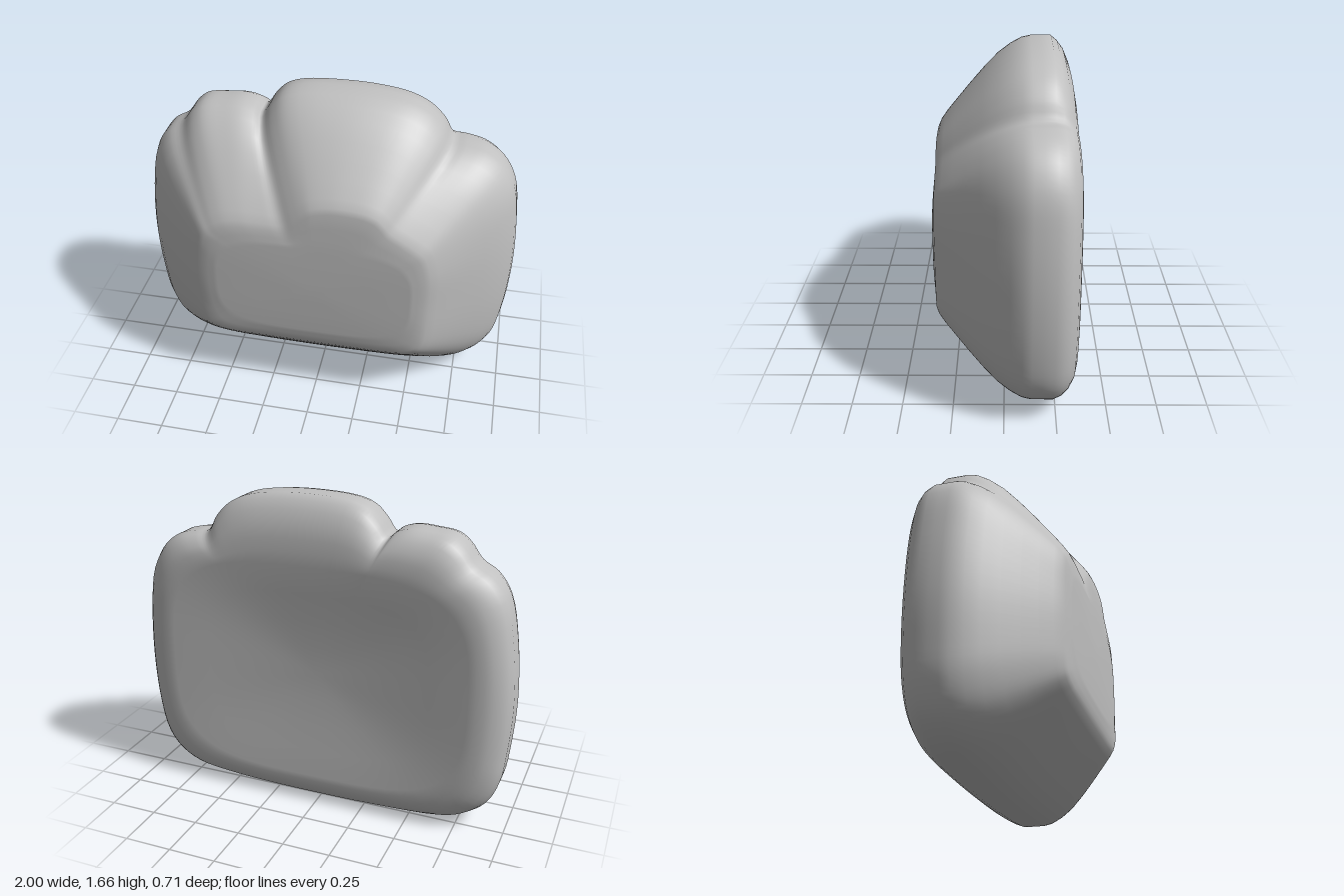
import * as THREE from 'three';

// Widest outline, counter-clockwise from bottom centre, with three crown bumps
const OUTLINE = [
  [0, 0], [0.3, 0.005], [0.55, 0.02], [0.75, 0.05], [0.87, 0.12], [0.94, 0.22], [0.98, 0.4],
  [1, 0.7], [0.985, 1], [0.95, 1.2], [0.88, 1.32], [0.79, 1.385], [0.69, 1.41], [0.62, 1.42],
  [0.57, 1.5], [0.5, 1.57], [0.4, 1.62], [0.25, 1.648], [0.05, 1.656], [-0.15, 1.642],
  [-0.24, 1.61], [-0.3, 1.55], [-0.35, 1.485], [-0.39, 1.515], [-0.46, 1.535], [-0.56, 1.53],
  [-0.66, 1.515], [-0.72, 1.47], [-0.78, 1.39], [-0.86, 1.34], [-0.93, 1.24], [-0.98, 1],
  [-1, 0.7], [-0.985, 0.45], [-0.96, 0.28], [-0.9, 0.15], [-0.8, 0.07], [-0.68, 0.03], [-0.3, 0.005],
];

// Edge of the front plateau, point for point with the outline
const PLATEAU = [
  [0, 0.4], [0.23, 0.4], [0.42, 0.4], [0.49, 0.41], [0.53, 0.43], [0.55, 0.47], [0.56, 0.56],
  [0.56, 0.72], [0.56, 0.88], [0.54, 0.97], [0.52, 1.01], [0.48, 1.04], [0.42, 1.08], [0.36, 1.12],
  [0.33, 1.16], [0.3, 1.19], [0.25, 1.21], [0.17, 1.22], [0.09, 1.22], [0, 1.2],
  [-0.04, 1.17], [-0.08, 1.13], [-0.13, 1.08], [-0.2, 1.08], [-0.28, 1.08], [-0.35, 1.08],
  [-0.43, 1.07], [-0.48, 1.05], [-0.51, 1.03], [-0.54, 1.01], [-0.56, 0.96], [-0.57, 0.87],
  [-0.58, 0.72], [-0.57, 0.56], [-0.56, 0.48], [-0.54, 0.43], [-0.5, 0.41], [-0.43, 0.4], [-0.23, 0.4],
];

// Rings as [blend, z]: back field (centre to back edge), back rim, front slope, front cap
const FIELD = [[0.25, -0.318], [0.5, -0.327], [0.75, -0.34], [1, -0.354]];
const RIM = [[0.8, -0.353], [0.6, -0.348], [0.4, -0.336], [0.2, -0.308], [0.08, -0.278], [0, -0.235]];
const SLOPE = [[0, -0.18], [0, -0.13], [0.02, -0.085], [0.08, -0.03], [0.18, 0.035], [0.33, 0.105],
  [0.5, 0.175], [0.67, 0.24], [0.82, 0.295], [0.91, 0.322], [0.98, 0.335]];
const CAP = [[0.35, 0.341], [0.7, 0.346], [1, 0.349]];
const CROWN = [[0.4, 0.352], [0.75, 0.354]];
const CENTRE = new THREE.Vector3(0, 0.74, 0);

function sample(points, n) {
  const curve = new THREE.CatmullRomCurve3(
    points.map(([x, y]) => new THREE.Vector3(x, y, 0)), true, 'centripetal');
  return Array.from({ length: n }, (_, i) => curve.getPoint(i / n));
}

// Moving average along a closed loop
function soften(loop, width) {
  return loop.map((_, i) => {
    const sum = new THREE.Vector3();
    for (let d = -width; d <= width; d++) sum.add(loop[(i + d + loop.length) % loop.length]);
    return sum.divideScalar(2 * width + 1);
  });
}

// Rounded rectangle whose points lie in the same directions as those of a loop
function rounded(loop, halfWidth, halfHeight) {
  return loop.map((p) => {
    const d = p.clone().sub(CENTRE);
    const r = Math.abs(d.x / halfWidth) ** 3.5 + Math.abs(d.y / halfHeight) ** 3.5;
    return d.multiplyScalar(r ** (-1 / 3.5)).add(CENTRE);
  });
}

function bodyGeometry() {
  const n = OUTLINE.length * 4;
  const outer = sample(OUTLINE, n), inner = sample(PLATEAU, n);
  const soft = soften(outer, 7);
  const backEdge = rounded(outer, 0.8, 0.58), frontEdge = rounded(inner, 0.5, 0.27);
  const middle = outer.map(() => CENTRE);
  const position = [], index = [];
  let rings = 0;
  const addRings = (list, from, to) => list.forEach(([k, z]) => {
    from.forEach((p, i) => {
      const q = p.clone().lerp(to[i], k);
      // The back is slightly hollow from side to side
      const hollow = z < -0.24 ? 0.012 * Math.max(0, 1 - (q.x / 0.8) ** 2) : 0;
      position.push(q.x, q.y, z + hollow);
    });
    rings++;
  });
  addRings(FIELD, middle, backEdge);
  addRings(RIM, outer, backEdge);
  // The valleys between the bumps soften as they run down the front slope
  SLOPE.forEach(([k, z]) => {
    const eased = outer.map((p, i) => p.clone().lerp(soft[i], k));
    addRings([[k, z]], eased, inner);
  });
  addRings(CAP, inner, frontEdge);
  addRings(CROWN, frontEdge, middle);

  // Skin between neighbouring rings
  for (let r = 0; r < rings - 1; r++) {
    for (let i = 0; i < n; i++) {
      const j = (i + 1) % n, a = r * n + i, b = r * n + j;
      index.push(a, b, b + n, a, b + n, a + n);
    }
  }

  // Close the back and front with centre points
  const back = rings * n, front = back + 1, last = (rings - 1) * n;
  position.push(CENTRE.x, CENTRE.y, -0.303, CENTRE.x, CENTRE.y, 0.355);
  for (let i = 0; i < n; i++) {
    const j = (i + 1) % n;
    index.push(back, j, i, front, last + i, last + j);
  }

  const geometry = new THREE.BufferGeometry();
  geometry.setAttribute('position', new THREE.Float32BufferAttribute(position, 3));
  geometry.setIndex(index);
  geometry.computeVertexNormals();
  return geometry;
}

export function createModel() {
  const group = new THREE.Group();
  group.name = 'lobedBlock';
  const grey = new THREE.MeshStandardMaterial({ color: 0xc0c0c0 });
  grey.name = 'grey';
  const body = new THREE.Mesh(bodyGeometry(), grey);
  body.name = 'body';
  group.add(body);
  return group;
}
